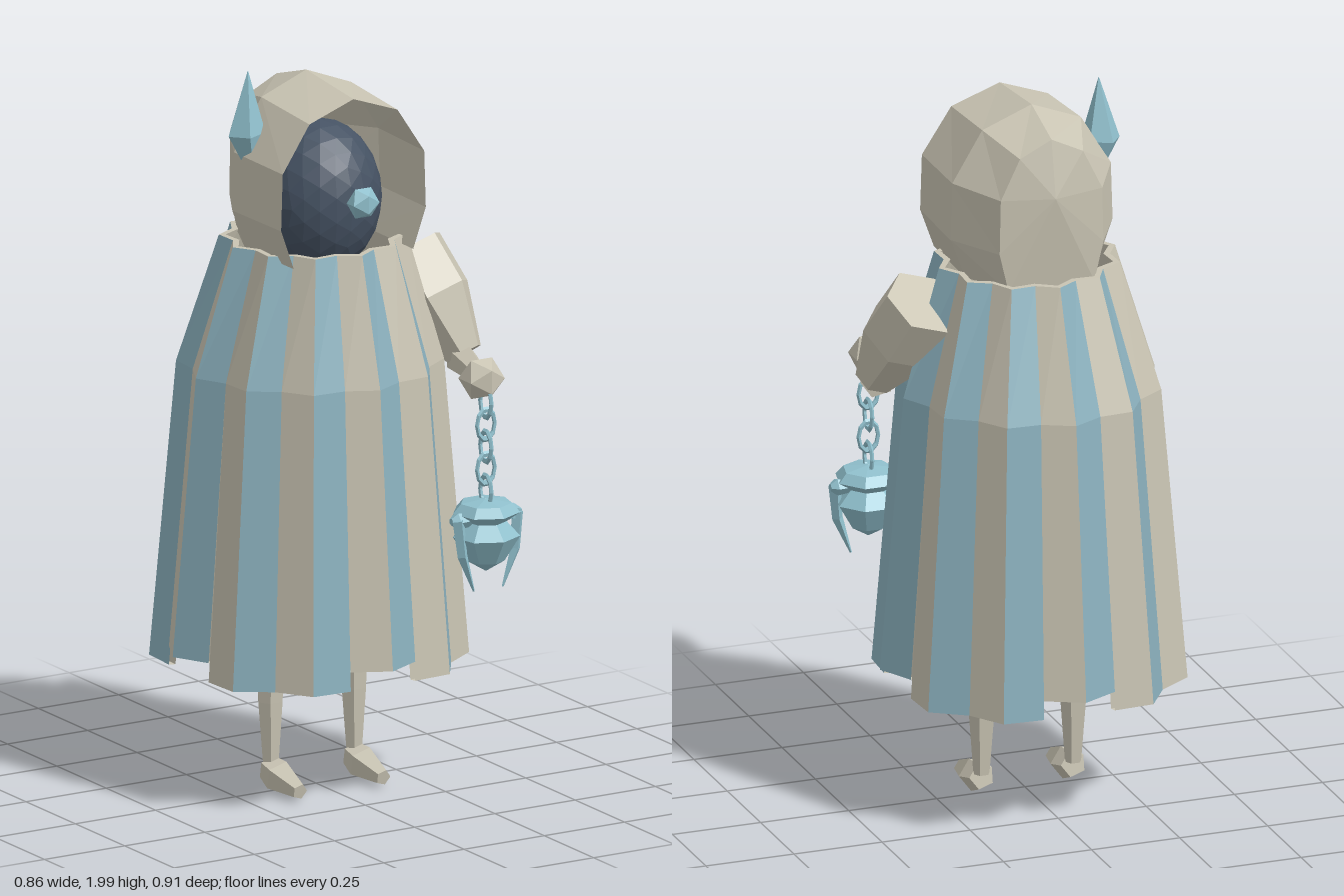
import * as THREE from 'three';

const mat = (name, color, side = THREE.FrontSide) =>
  new THREE.MeshStandardMaterial({ name, color, side, flatShading: true });

const V = (x, y, z) => new THREE.Vector3(x, y, z);

// Flat-faced geometry from triangles (three points) and quads (four points)
function faces(list) {
  const pts = [];
  for (const f of list) {
    pts.push(f[0], f[1], f[2]);
    if (f.length === 4) pts.push(f[0], f[2], f[3]);
  }
  const g = new THREE.BufferGeometry().setFromPoints(pts);
  g.computeVertexNormals();
  return g;
}

// Faceted limb: rings of the given radii around centre points, capped at both ends
function limb(centres, radii, sides, up = V(0, 0, 1)) {
  const c = centres.map((p) => V(...p));
  const d = c[c.length - 1].clone().sub(c[0]).normalize();
  const u = new THREE.Vector3().crossVectors(up, d).normalize();
  const v = new THREE.Vector3().crossVectors(d, u);
  const at = (i, j) => {
    const t = (j / sides) * Math.PI * 2;
    return c[i].clone().addScaledVector(u, radii[i] * Math.cos(t)).addScaledVector(v, radii[i] * Math.sin(t));
  };
  const list = [];
  const last = c.length - 1;
  for (let j = 0; j < sides; j++) {
    for (let i = 0; i < last; i++) list.push([at(i, j), at(i, j + 1), at(i + 1, j + 1), at(i + 1, j)]);
    list.push([c[0], at(0, j + 1), at(0, j)], [c[last], at(last, j), at(last, j + 1)]);
  }
  return faces(list);
}

export function createModel() {
  const model = new THREE.Group();
  const bone = mat('bone cloth', 0xc9c4b3, THREE.DoubleSide);
  const blue = mat('dusty blue cloth', 0x8cb2bf);
  const ice = mat('ice blue metal', 0x90c0cd);
  const shade = mat('dark face', 0x465364);

  const add = (name, geometry, material, parent = model) => {
    const m = new THREE.Mesh(geometry, material);
    m.name = name;
    parent.add(m);
    return m;
  };

  // Pleated cloak: 24 alternating panels, longer on the diagonals
  const cloak = new THREE.Group();
  cloak.name = 'cloak';
  model.add(cloak);
  const levels = [ // y, ridge radius, valley radius, centre z
    [0.41, 0.425, 0.388, -0.035],
    [1.17, 0.356, 0.325, -0.03],
    [1.52, 0.25, 0.222, -0.015],
  ];
  for (let k = 0; k < 24; k++) {
    const q = k % 6;
    const hem = q === 0 || q === 5 ? 0.41 : 0.357;
    const point = (l, j, inset) => {
      const [y, ridge, valley, zc] = levels[l];
      const r = (j % 2 ? valley : ridge) - inset;
      const a = (j * Math.PI) / 12;
      return V(r * Math.sin(a), l ? y : hem, zc + r * Math.cos(a));
    };
    const outer = [], lining = [];
    for (let l = 0; l < 2; l++) {
      outer.push([point(l, k, 0), point(l, k + 1, 0), point(l + 1, k + 1, 0), point(l + 1, k, 0)]);
      lining.push([point(l, k + 1, 0.018), point(l, k, 0.018), point(l + 1, k, 0.018), point(l + 1, k + 1, 0.018)]);
    }
    lining.push([point(0, k, 0.018), point(0, k + 1, 0.018), point(0, k + 1, 0), point(0, k, 0)]);
    lining.push([point(2, k, 0), point(2, k + 1, 0), point(2, k + 1, 0.018), point(2, k, 0.018)]);
    add('cloakPanel', faces(outer), k % 2 ? bone : blue, cloak);
    add('cloakLining', faces(lining), bone, cloak);
  }

  // Hood: arched sections from the open front to a shallow point at the back
  const half = [[0.19, 1.5], [0.23, 1.61], [0.225, 1.77], [0.14, 1.91]];
  const arch = [...half, [0, 1.965], ...half.map(([x, y]) => [-x, y]).reverse()];
  const sections = [[0.19, 0.98, 0.9], [-0.05, 1, 1], [-0.2, 0.64, 0.8]].map(([z, sx, sy]) =>
    arch.map(([x, y]) => V(x * sx, y > 1.73 ? 1.73 + (y - 1.73) * sy : y, z)));
  const hoodFaces = [];
  const pole = V(0, 1.76, -0.232);
  for (let j = 0; j < arch.length - 1; j++) {
    for (let i = 0; i < 2; i++) {
      hoodFaces.push([sections[i + 1][j], sections[i + 1][j + 1], sections[i][j + 1], sections[i][j]]);
    }
    hoodFaces.push([pole, sections[2][j + 1], sections[2][j]]);
  }
  hoodFaces.push([pole, sections[2][0], sections[2][arch.length - 1]]);
  add('hood', faces(hoodFaces), bone);

  // Face, single eye and crystal ornament
  const face = add('face', new THREE.IcosahedronGeometry(1, 3), shade);
  face.scale.set(0.165, 0.21, 0.165);
  face.position.set(0, 1.635, 0.02);
  const eye = add('eye', new THREE.IcosahedronGeometry(0.047, 0), ice);
  eye.scale.z = 0.75;
  eye.position.set(0.022, 1.655, 0.203);
  add('hoodCrystal', limb([[-0.185, 1.69, -0.012], [-0.21, 1.83, -0.015], [-0.205, 2, -0.012]],
    [0.003, 0.053, 0.001], 5), ice);

  // Legs and pointed feet
  for (const s of [-1, 1]) {
    const x = 0.13 * s;
    add('thigh', limb([[x, 0.43, -0.018], [x, 0.95, -0.018]], [0.043, 0.05], 6), blue);
    add('shin', limb([[x, 0.07, -0.018], [x, 0.25, -0.02], [x, 0.43, -0.018]], [0.023, 0.037, 0.043], 6), bone);
    add('foot', limb([[x, 0.062, -0.022], [x, 0.05, 0.03], [x, 0.034, 0.13]], [0.036, 0.046, 0.022], 5, V(0, 1, 0)), bone);
  }

  // Left arm: wide sleeve, forearm and fist
  add('sleeve', limb([[0.295, 1.43, -0.02], [0.33, 1.31, 0.055], [0.375, 1.17, 0.14]], [0.108, 0.113, 0.055], 6), bone);
  add('forearm', limb([[0.37, 1.16, 0.13], [0.31, 1.165, 0.32]], [0.045, 0.027], 5, V(0, 1, 0)), bone);
  const fist = add('fist', new THREE.IcosahedronGeometry(0.062, 0), bone);
  fist.position.set(0.31, 1.16, 0.335);

  // Chain of alternating oval links
  const flail = new THREE.Group();
  flail.name = 'flail';
  flail.position.set(0.308, 0, 0.36);
  model.add(flail);
  for (let i = 0; i < 5; i++) {
    const link = add('chainLink', new THREE.TorusGeometry(0.028, 0.006, 5, 10), ice, flail);
    link.scale.y = 1.5;
    link.position.y = 1.1 - i * 0.061;
    link.rotation.y = i % 2 ? 0 : Math.PI / 2;
  }

  // Flail head: pointed body under a faceted cap, with side nubs and hanging talons
  const profile = (pts) => new THREE.LatheGeometry(pts.map(([r, y]) => new THREE.Vector2(r, y)), 7);
  add('flailBody', profile([[0.001, 0.635], [0.05, 0.665], [0.092, 0.735], [0.045, 0.785], [0.001, 0.79]]), ice, flail);
  add('flailCap', profile([[0.001, 0.765], [0.05, 0.77], [0.092, 0.8], [0.07, 0.825], [0.001, 0.835]]), ice, flail);
  for (const s of [-1, 1]) {
    add('sideNub', limb([[s * 0.05, 0.785, 0], [s * 0.09, 0.785, 0], [s * 0.108, 0.785, 0]],
      [0.02, 0.024, 0.01], 5, V(0, 1, 0)), ice, flail);
    add('talon', limb([[s * 0.092, 0.79, 0.01], [s * 0.082, 0.69, 0.015], [s * 0.045, 0.588, 0.012]],
      [0.018, 0.015, 0.003], 4), ice, flail);
  }
  return model;
}
